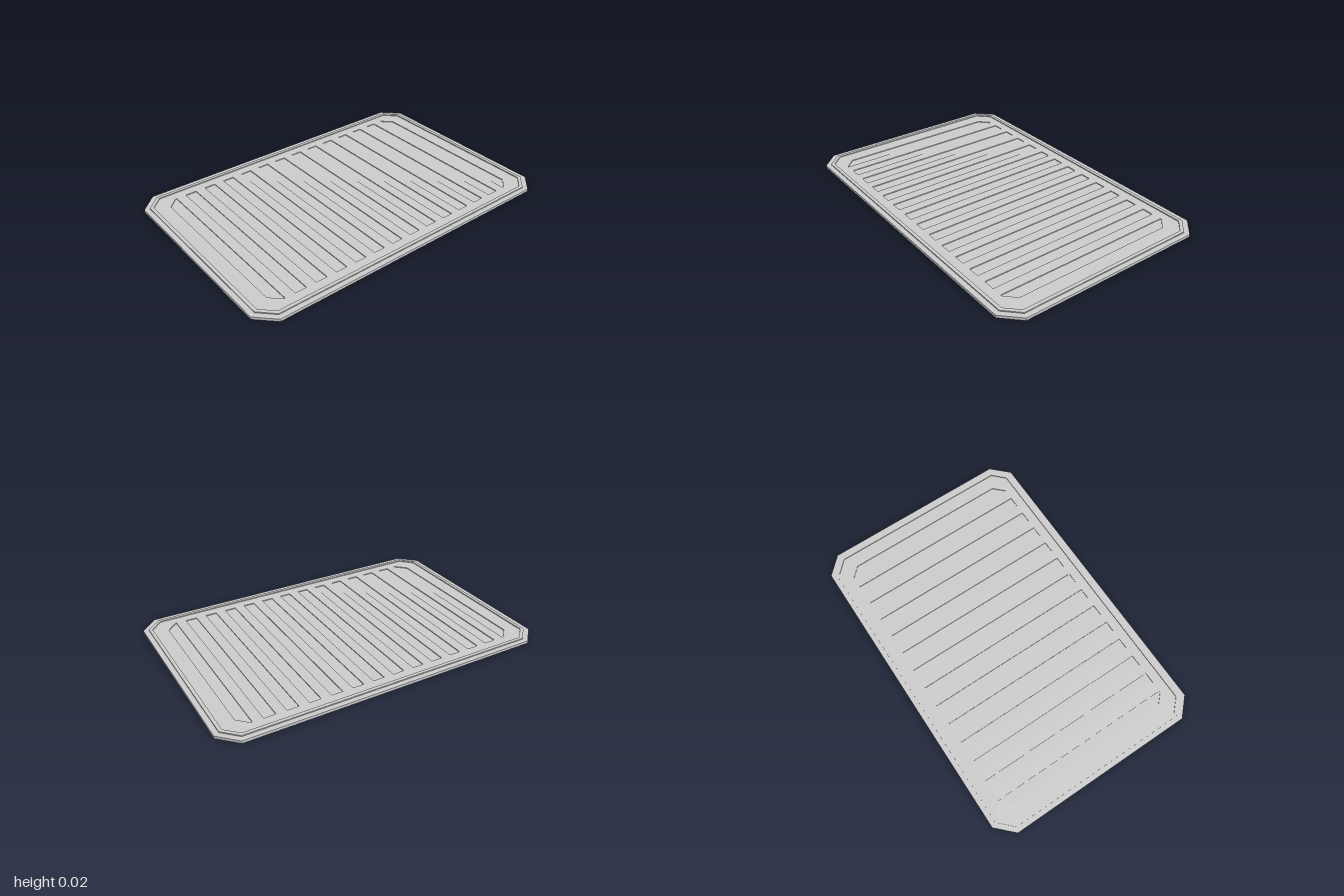
import * as THREE from 'three';

const HALF_X = 1, HALF_Z = 0.667, CUT = 0.1;
const SLOTS = 14, PITCH = 0.128, SLOT_HALF = 0.034, SLOT_Z = 0.56;

// Rectangle with chamfered corners, inset evenly from the outer edge
function octagon(inset) {
  const w = HALF_X - inset, h = HALF_Z - inset, c = CUT - inset * (2 - Math.SQRT2);
  return [
    [w, -h + c], [w, h - c], [w - c, h], [-w + c, h],
    [-w, h - c], [-w, -h + c], [-w + c, -h], [w - c, -h],
  ].map(([x, y]) => new THREE.Vector2(x, y));
}

// Slot outline; the outermost slots lose their outer corners to follow the plate's chamfer
function slotOutline(i) {
  const x = (i - (SLOTS - 1) / 2) * PITCH, a = x - SLOT_HALF, b = x + SLOT_HALF;
  const zl = i === 0 ? SLOT_Z - 0.06 : SLOT_Z;
  const zr = i === SLOTS - 1 ? SLOT_Z - 0.06 : SLOT_Z;
  const pts = [[a, -zl], [b, -zr], [b, zr], [a, zl]];
  if (i === 0) pts.push([a, -zl]), pts.splice(0, 1, [b - 0.008, -SLOT_Z]), pts.splice(3, 0, [b - 0.008, SLOT_Z]);
  if (i === SLOTS - 1) pts.splice(1, 0, [a + 0.008, -SLOT_Z]), pts.splice(4, 0, [a + 0.008, SLOT_Z]);
  return pts.map(([px, py]) => new THREE.Vector2(px, py));
}

export function createModel() {
  const group = new THREE.Group();
  group.name = 'ribbedTray';
  const material = new THREE.MeshStandardMaterial({ color: 0xcccccc });

  // Flat layer between two heights, with optional holes
  function layer(name, outline, holes, y0, y1) {
    const shape = new THREE.Shape(outline);
    holes.forEach((h) => shape.holes.push(new THREE.Path(h)));
    const geometry = new THREE.ExtrudeGeometry(shape, { depth: y1 - y0, bevelEnabled: false });
    geometry.rotateX(-Math.PI / 2).translate(0, y0, 0);
    const mesh = new THREE.Mesh(geometry, material);
    mesh.name = name;
    group.add(mesh);
  }

  // Solid underside, whose top forms the slot floors
  layer('basePlate', octagon(0), [], 0, 0.011);

  // Panel with a row of parallel slots
  const slots = Array.from({ length: SLOTS }, (_, i) => slotOutline(i));
  layer('slottedPanel', octagon(0), slots, 0.011, 0.016);

  // Raised border set in from the edge
  layer('raisedRim', octagon(0.03), [octagon(0.05)], 0.016, 0.022);

  return group;
}
